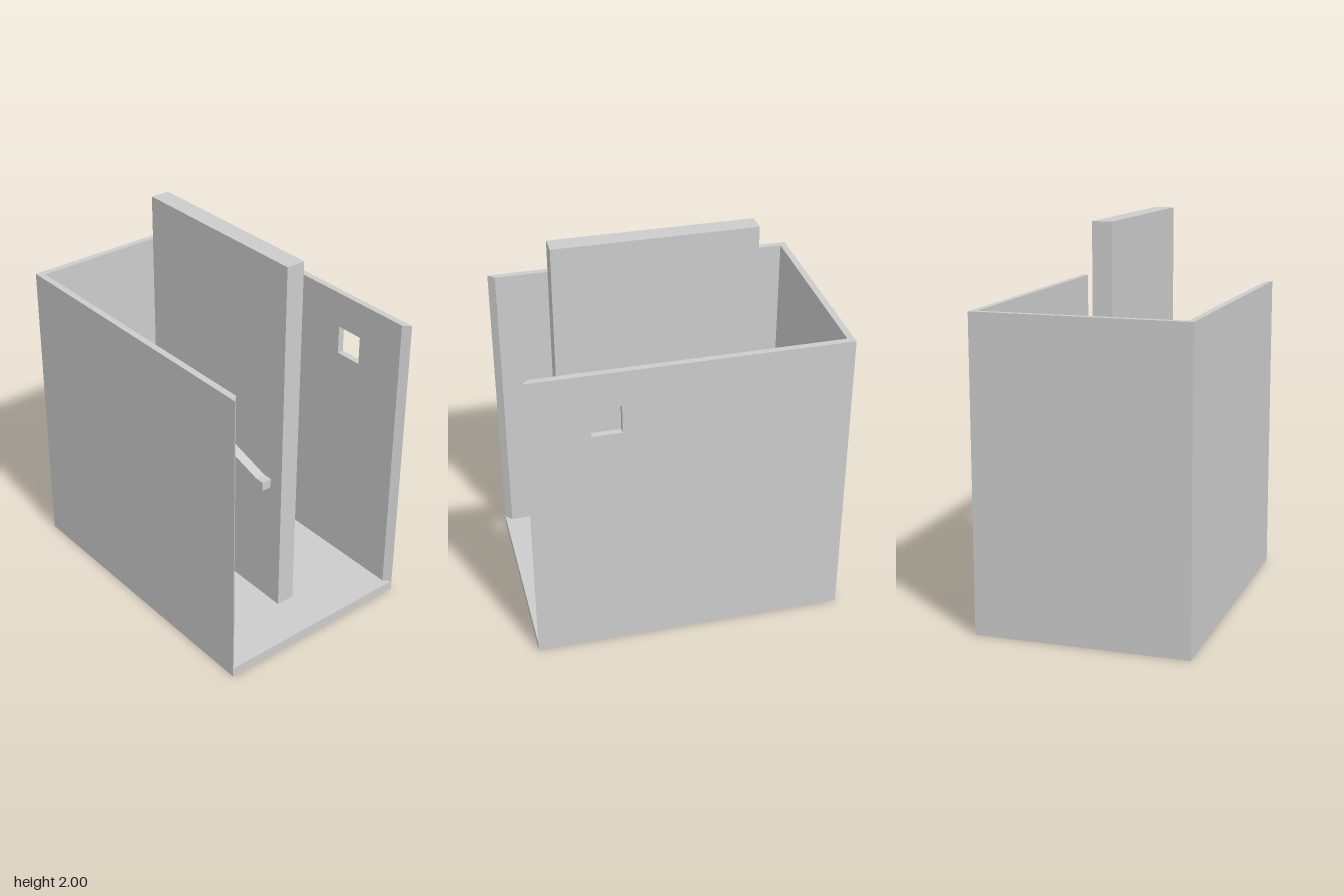
import * as THREE from 'three';

const W = 0.547, D = 0.8, H = 1.595, T = 0.034, FLOOR = 0.05;
const IN = W - T, BACK = -D + T;

export function createModel() {
  const group = new THREE.Group();
  const grey = new THREE.MeshStandardMaterial({ color: 0xcccccc });
  grey.name = 'plain grey';

  const add = (name, geometry) => {
    const mesh = new THREE.Mesh(geometry, grey);
    mesh.name = name;
    group.add(mesh);
    return mesh;
  };

  // Box given by its limits on each axis
  const block = (name, x0, x1, y0, y1, z0, z1) => {
    const g = new THREE.BoxGeometry(x1 - x0, y1 - y0, z1 - z0);
    g.translate((x0 + x1) / 2, (y0 + y1) / 2, (z0 + z1) / 2);
    return add(name, g);
  };

  const points = (list) => list.map(([z, y]) => new THREE.Vector2(z, y));

  // Side profile in (z, y), extruded from x0 to x1
  const slab = (shape, x0, x1) => {
    const g = new THREE.ExtrudeGeometry(shape, { depth: x1 - x0, bevelEnabled: false });
    g.rotateY(-Math.PI / 2);
    g.translate(x1, 0, 0);
    return g;
  };

  // Side wall with a front edge slanting inwards
  const sideWall = (name, x0, x1, hole) => {
    const shape = new THREE.Shape(points([[-D, FLOOR], [D, FLOOR], [D, H], [-D, H]]));
    if (hole) shape.holes.push(new THREE.Path(points(hole)));
    const g = slab(shape, x0, x1);
    const p = g.attributes.position;
    for (let i = 0; i < p.count; i++) {
      if (Math.abs(p.getX(i)) < W - T / 2 && p.getZ(i) > D - 0.01) p.setZ(i, D - T);
    }
    g.computeVertexNormals();
    add(name, g);
  };

  // Open-fronted box
  block('floor', -W, W, 0, FLOOR, -D, D);
  block('backWall', -IN, IN, FLOOR, H, -D, BACK);
  sideWall('rightWall', -W, -IN);
  sideWall('leftWall', IN, W, [[0.34, 1.26], [0.34, 1.41], [0.49, 1.41], [0.49, 1.26]]);

  // Upright panel in the middle
  block('centrePanel', -0.05, 0.05, FLOOR, 2, -0.46, 0.565);

  // Sloping rails on the panel, with short level ends
  const rail = (name, x0, x1, back, front) => {
    const zs = [[-0.46, back], [-0.41, back], [0.435, front], [0.485, front]];
    const top = zs.map(([z, y]) => [z, y + 0.05]).reverse();
    add(name, slab(new THREE.Shape(points([...zs, ...top])), x0, x1));
  };
  rail('leftRail', 0.05, 0.103, 1.0, 1.26);
  rail('rightRail', -0.103, -0.05, 1.0, 0.75);

  // Steps climbing round the back and along the right wall
  const stepZ = BACK + 0.1;
  block('lowStep', 0.408, IN, FLOOR, 0.26, BACK, stepZ);
  block('backShelf', -0.412, 0.328, 0.34, 0.44, BACK, stepZ);
  block('cornerStep', -IN, -0.412, 0.34, 0.64, BACK, stepZ);
  block('sideShelf', -IN, -0.412, 0.545, 0.64, stepZ, 0.56);

  return group;
}
